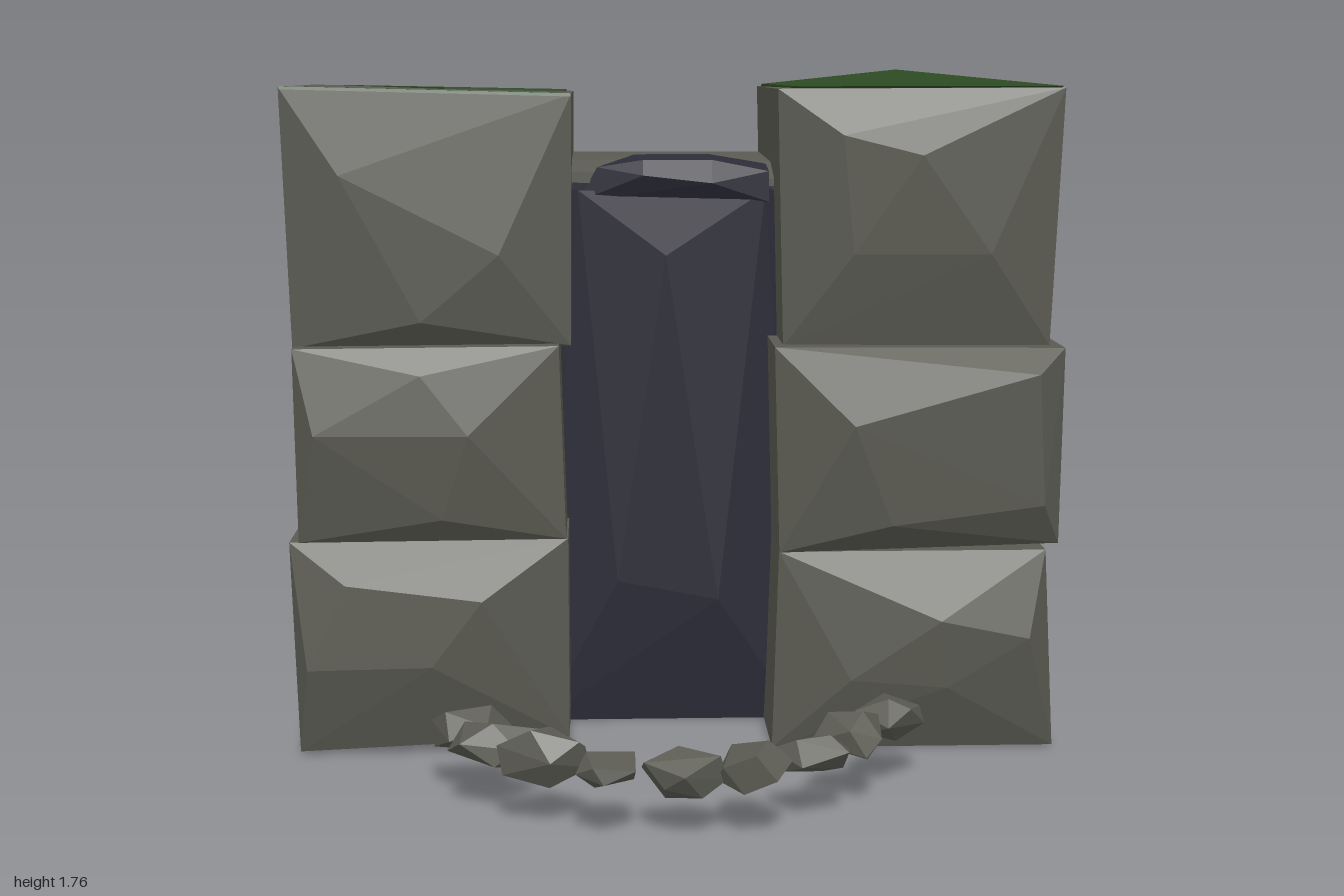
import * as THREE from 'three';
import { ConvexGeometry } from 'three/addons/geometries/ConvexGeometry.js';

const BACK = -0.74;

function material(name, color) {
  const m = new THREE.MeshStandardMaterial({ color });
  m.name = name;
  return m;
}

// Faceted solid wrapped around a few points
function hull(name, points, mat) {
  const mesh = new THREE.Mesh(new ConvexGeometry(points.map(p => new THREE.Vector3(...p))), mat);
  mesh.name = name;
  return mesh;
}

// Stone block: flat back, four front corners [x, y] at depth z (bottom left, bottom right,
// top right, top left), and chiselled points bulging from the front face
function block(name, corners, z, bulge, mat, back = BACK) {
  const points = corners.flatMap(([x, y]) => [[x, y, back], [x, y, z]]);
  return hull(name, [...points, ...bulge], mat);
}

function seeded(seed) {
  return () => (seed = (seed * 16807) % 2147483647) / 2147483647;
}

export function createModel() {
  const model = new THREE.Group();
  model.name = 'stoneGateway';
  const stone = material('stone grey', 0x5a5a52);
  const moss = material('moss green', 0x2d4a22);
  const dark = material('dark slate', 0x2c2c38);

  // Pillar on the model's right, bottom to top
  const right = new THREE.Group();
  right.name = 'rightPillar';
  right.add(
    block('lowerBlock', [[-0.98, 0.008], [-0.28, 0.04], [-0.28, 0.57], [-0.995, 0.565]], 0.03,
      [[-0.95, 0.24, 0.09], [-0.63, 0.25, 0.105], [-0.5, 0.42, 0.1], [-0.85, 0.46, 0.08]], stone),
    block('middleBlock', [[-0.97, 0.565], [-0.285, 0.57], [-0.3, 1.07], [-0.975, 1.065]], 0.035,
      [[-0.6, 0.63, 0.08], [-0.53, 0.85, 0.105], [-0.92, 0.85, 0.095], [-0.65, 1.0, 0.08]], stone),
    block('upperBlock', [[-0.98, 1.06], [-0.27, 1.065], [-0.265, 1.702], [-0.998, 1.72]], -0.02,
      [[-0.45, 1.3, 0.035], [-0.65, 1.13, 0.03], [-0.85, 1.5, 0.02]], stone));

  // Pillar on the model's left, bottom to top
  const left = new THREE.Group();
  left.name = 'leftPillar';
  left.add(
    block('lowerBlock', [[0.25, 0.004], [0.99, 0.004], [0.96, 0.53], [0.265, 0.53]], 0.03,
      [[0.91, 0.31, 0.1], [0.68, 0.36, 0.11], [0.45, 0.2, 0.09], [0.7, 0.18, 0.095]], stone),
    block('middleBlock', [[0.265, 0.53], [0.99, 0.55], [0.995, 1.06], [0.25, 1.065]], 0.04,
      [[0.92, 1.0, 0.11], [0.94, 0.66, 0.1], [0.55, 0.61, 0.1], [0.45, 0.87, 0.115]], stone),
    block('upperBlock', [[0.275, 1.06], [0.965, 1.06], [0.99, 1.718], [0.258, 1.715]], -0.015,
      [[0.45, 1.3, 0.035], [0.62, 1.55, 0.055], [0.42, 1.6, 0.045], [0.8, 1.3, 0.04]], stone));

  // Moss growing on the pillar tops
  right.add(hull('mossPatch', [1.69, 1.719].flatMap(y => [
    [-0.92, y, BACK], [-0.285, y - 0.012, BACK], [-0.285, y - 0.012, -0.49], [-0.61, y - 0.004, -0.43]]), moss));
  right.add(hull('mossEdge', [[-0.995, 1.714], [-0.266, 1.696]].flatMap(([x, y]) => [
    [x, y, -0.035], [x, y + 0.008, -0.035], [x, y, -0.013], [x, y + 0.008, -0.016]]), moss));
  left.add(hull('mossMound', [
    [0.262, 1.7, -0.738], [0.94, 1.7, -0.738], [0.268, 1.722, -0.69], [0.32, 1.721, -0.62],
    [0.32, 1.72, -0.13], [0.985, 1.722, -0.018], [0.95, 1.722, -0.7], [0.65, 1.762, -0.71],
    [0.35, 1.69, -0.15], [0.95, 1.69, -0.05]], moss));

  // Dark door slab between the pillars, with a crest rising in front of the lintel
  const door = new THREE.Group();
  door.name = 'door';
  door.add(
    block('doorSlab', [[-0.36, 0], [0.35, 0], [0.35, 1.45], [-0.36, 1.45]], -0.25,
      [[-0.15, 0.4, -0.2], [0.12, 0.35, -0.19], [-0.02, 1.28, -0.18], [0.18, 1.05, -0.19],
        [-0.25, 1.45, -0.21], [0.24, 1.45, -0.19]], dark, -0.737),
    hull('doorCrest', [
      [-0.2, 1.51, -0.21], [-0.1, 1.54, -0.3], [0.1, 1.54, -0.3], [0.25, 1.515, -0.3],
      [0.25, 1.5, -0.19], [0.1, 1.53, -0.18], [-0.08, 1.53, -0.18], [0.1, 1.47, -0.165],
      [-0.08, 1.49, -0.17], [-0.25, 1.42, -0.22], [0.25, 1.42, -0.19], [0, 1.42, -0.3]], dark));

  // Lintel across the gap
  const lintel = hull('lintel', [
    [-0.28, 1.44, BACK], [0.27, 1.44, BACK], [-0.28, 1.53, BACK], [0.27, 1.53, BACK],
    [-0.28, 1.525, -0.31], [0.27, 1.52, -0.31], [-0.28, 1.5, -0.215], [0.27, 1.48, -0.2],
    [-0.28, 1.47, -0.215], [0.27, 1.46, -0.2]], stone);

  // Arc of hovering rocks: x, y, z, then half sizes
  const rocks = new THREE.Group();
  rocks.name = 'rockArc';
  const random = seeded(4217);
  [
    [-0.52, 0.155, 0.32, 0.1, 0.06, 0.067], [-0.455, 0.155, 0.44, 0.115, 0.06, 0.08],
    [-0.335, 0.17, 0.59, 0.11, 0.07, 0.06], [-0.19, 0.16, 0.65, 0.07, 0.04, 0.083],
    [-0.005, 0.15, 0.675, 0.1, 0.06, 0.065], [0.155, 0.16, 0.65, 0.09, 0.06, 0.08],
    [0.3, 0.155, 0.565, 0.095, 0.05, 0.062], [0.395, 0.165, 0.43, 0.085, 0.065, 0.072],
    [0.52, 0.17, 0.32, 0.09, 0.055, 0.086],
  ].forEach(([x, y, z, hx, hy, hz], i) => {
    const points = [];
    for (let k = 0; k < 11; k++) {
      const h = 1 - 2 * (k + 0.5) / 11, a = k * 2.4 + i + random() * 0.7;
      const r = Math.sqrt(1 - h * h) * (0.75 + 0.4 * random());
      points.push([r * Math.cos(a), h, r * Math.sin(a)]);
    }
    const rock = hull('rock', points, stone);
    rock.geometry.center();
    const half = rock.geometry.boundingBox.getSize(new THREE.Vector3()).multiplyScalar(0.5);
    rock.geometry.scale(hx / half.x, hy / half.y, hz / half.z);
    rock.position.set(x, y, z);
    rocks.add(rock);
  });

  model.add(right, left, door, lintel, rocks);
  return model;
}
